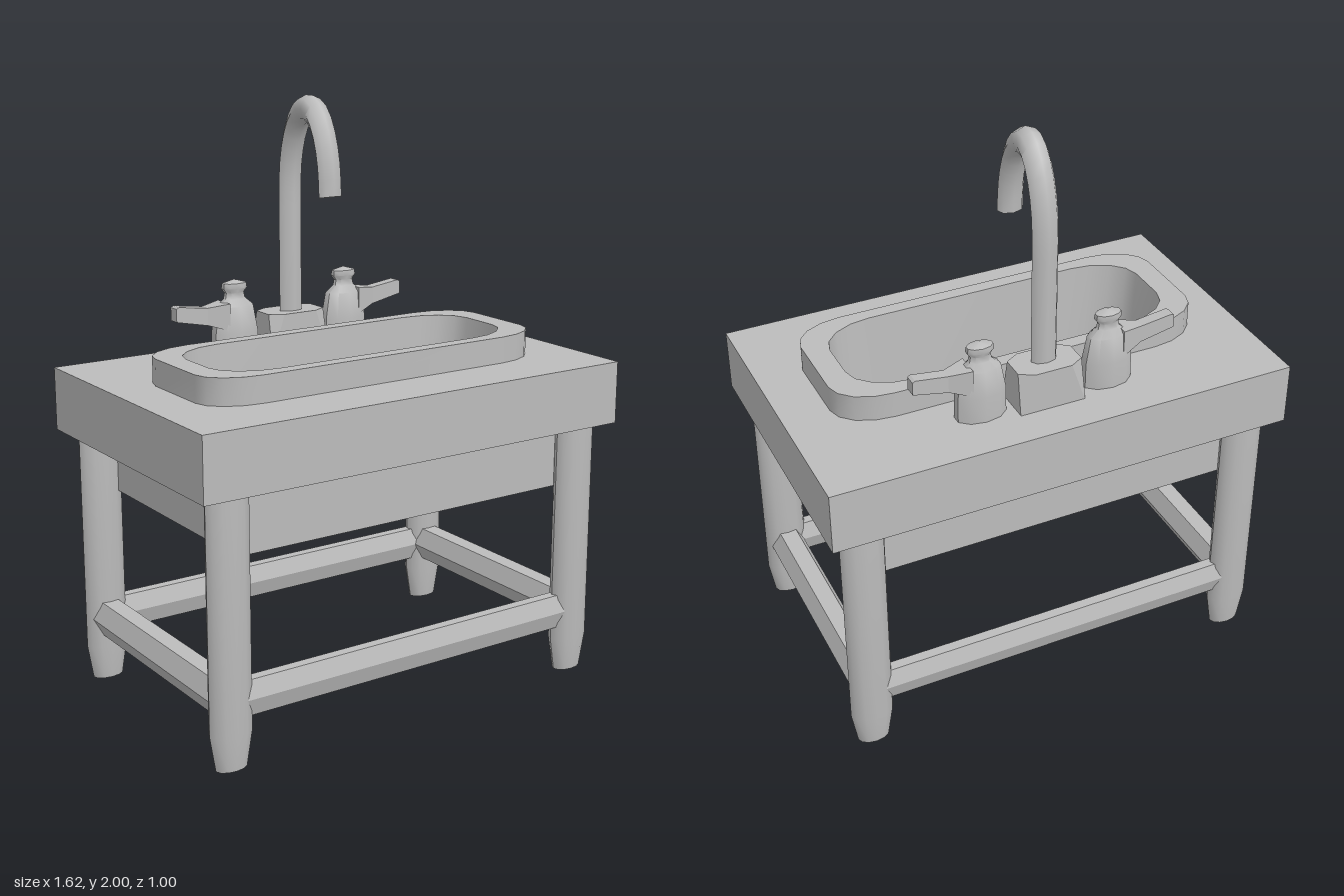
import * as THREE from 'three';
import { toCreasedNormals } from 'three/addons/utils/BufferGeometryUtils.js';
import { ConvexGeometry } from 'three/addons/geometries/ConvexGeometry.js';

const DEPTH = 0.61; // round parts are squashed front to back
const grey = new THREE.MeshStandardMaterial({ color: 0xbcbcbc, side: THREE.DoubleSide });
grey.name = 'grey';

function add(parent, name, geometry, x = 0, y = 0, z = 0, crease = 0.7) {
  const mesh = new THREE.Mesh(toCreasedNormals(geometry, crease), grey);
  mesh.name = name;
  mesh.position.set(x, y, z);
  parent.add(mesh);
  return mesh;
}

// Rounded rectangle as [x, z] points, with elliptical corners
function ring(hx, hz, rx, rz, cz) {
  const points = [];
  for (let q = 0; q < 4; q++) {
    const sx = q === 0 || q === 3 ? 1 : -1, sz = q < 2 ? 1 : -1;
    for (let i = 0; i <= 4; i++) {
      const a = (q + i / 4) * Math.PI / 2;
      points.push([sx * (hx - rx) + rx * Math.cos(a), cz + sz * (hz - rz) + rz * Math.sin(a)]);
    }
  }
  return points;
}

// Surface through a list of { y, points } rings
function loft(rows) {
  const n = rows[0].points.length, position = [], index = [];
  rows.forEach(({ y, points }) => points.forEach(([x, z]) => position.push(x, y, z)));
  for (let r = 0; r < rows.length - 1; r++) {
    for (let i = 0; i < n; i++) {
      const a = r * n + i, b = r * n + (i + 1) % n;
      index.push(a, a + n, b, b, a + n, b + n);
    }
  }
  const g = new THREE.BufferGeometry();
  g.setAttribute('position', new THREE.Float32BufferAttribute(position, 3));
  g.setIndex(index);
  return g;
}

// Flat slab with a hole for the basin
function slab(hx, hz, y0, y1) {
  const shape = new THREE.Shape([[-hx, -hz], [hx, -hz], [hx, hz], [-hx, hz]].map(p => new THREE.Vector2(...p)));
  shape.holes.push(new THREE.Path(ring(0.6, 0.22, 0.19, 0.13, 0.047).map(([x, z]) => new THREE.Vector2(x, -z))));
  return new THREE.ExtrudeGeometry(shape, { depth: y1 - y0, bevelEnabled: false })
    .rotateX(-Math.PI / 2).translate(0, y0, 0);
}

function turned(profile, sides) {
  return new THREE.LatheGeometry(profile.map(p => new THREE.Vector2(...p)), sides).scale(1, 1, DEPTH);
}

export function createModel() {
  const model = new THREE.Group();
  model.name = 'washstand';

  // Worktop and the box under it
  add(model, 'worktop', slab(0.81, 0.5, 0.895, 1.11));
  add(model, 'basinBox', slab(0.64, 0.4, 0.7, 0.895));
  add(model, 'basinBoxFloor', new THREE.BoxGeometry(1.28, 0.025, 0.8), 0, 0.6875);

  // Basin: raised rim, then down the inside to the floor
  add(model, 'basin', loft([
    { y: 1.1, points: ring(0.65, 0.248, 0.18, 0.12, 0.047) },
    { y: 1.2, points: ring(0.65, 0.248, 0.18, 0.12, 0.047) },
    { y: 1.2, points: ring(0.57, 0.2, 0.19, 0.13, 0.047) },
    { y: 0.76, points: ring(0.535, 0.18, 0.2, 0.13, 0.047) },
    { y: 0.76, points: ring(0, 0, 0, 0, 0.047) },
  ]));
  add(model, 'drain', turned([[0.1, 0], [0.09, 0.02], [0.07, 0.02], [0.052, 0.004], [0, 0.004]], 8), 0, 0.76, 0.047, 0.3);

  // Legs with tapered feet
  for (const sx of [-1, 1]) {
    for (const sz of [-1, 1]) {
      add(model, 'leg', turned([[0, 0], [0.055, 0], [0.075, 0.12], [0.075, 0.9]], 12), sx * 0.69, 0, sz * 0.425);
    }
  }

  // Six-sided stretchers between the legs
  for (const s of [-1, 1]) {
    const long = new THREE.CylinderGeometry(1, 1, 1.34, 6).rotateZ(Math.PI / 2).scale(1, 0.069, 0.036);
    add(model, 'longStretcher', long, 0, 0.225, s * 0.425, 0.3);
    const short = new THREE.CylinderGeometry(1, 1, 0.82, 6).rotateX(Math.PI / 2).rotateZ(Math.PI / 2).scale(0.06, 0.069, 1);
    add(model, 'shortStretcher', short, s * 0.69, 0.225, 0, 0.3);
  }

  // Tap base: square at the bottom, eight-sided on top
  const base = [];
  for (const sx of [-1, 1]) {
    for (const sz of [-1, 1]) {
      base.push(new THREE.Vector3(sx * 0.115, 1.1, sz * 0.07));
      base.push(new THREE.Vector3(sx * 0.112, 1.25, sz * 0.04), new THREE.Vector3(sx * 0.065, 1.25, sz * 0.068));
    }
  }
  add(model, 'tapBase', new ConvexGeometry(base), 0, 0, -0.3, 0.1);

  // Swan-neck spout: straight pipe, then a half-ellipse arch
  const path = new THREE.CurvePath();
  const back = -0.294 / DEPTH, front = -0.046 / DEPTH, mid = (back + front) / 2, reach = (front - back) / 2;
  const arch = [];
  for (let i = 0; i <= 10; i++) {
    const a = Math.PI * (1 - i / 10);
    arch.push(new THREE.Vector3(0, 1.67 + 0.285 * Math.sin(a), mid + reach * Math.cos(a)));
  }
  path.add(new THREE.LineCurve3(new THREE.Vector3(0, 1.2, back), arch[0]));
  path.add(new THREE.CatmullRomCurve3(arch));
  add(model, 'spout', new THREE.TubeGeometry(path, 24, 0.045, 8).scale(1, 1, DEPTH), 0, 0, 0, 0.9);

  // Handles with a knob and a lever pointing outward
  for (const s of [-1, 1]) {
    const handle = new THREE.Group();
    handle.name = s > 0 ? 'leftHandle' : 'rightHandle';
    handle.position.set(s * 0.225, 1.1, -0.3);
    add(handle, 'handleBody', turned([[0.088, 0], [0.087, 0.1], [0.07, 0.19], [0.04, 0.215], [0.036, 0.235],
      [0.048, 0.25], [0.045, 0.268], [0, 0.28]], 10));
    // Lever sections: x, bottom, top, half depth
    const lever = [[0.04, 0.11, 0.205, 0.042], [0.115, 0.135, 0.195, 0.02], [0.235, 0.16, 0.205, 0.02], [0.225, 0.16, 0.21, 0.02]];
    for (let i = 0; i < 2; i++) {
      const ends = i === 0 ? [lever[0], lever[1]] : lever.slice(1);
      const corners = ends.flatMap(([x, y0, y1, d]) => [[y0, -d], [y0, d], [y1, -d], [y1, d]]
        .map(([y, z]) => new THREE.Vector3(s * x, y, z)));
      add(handle, i === 0 ? 'leverRoot' : 'lever', new ConvexGeometry(corners), 0, 0, 0, 0.3);
    }
    model.add(handle);
  }
  return model;
}
